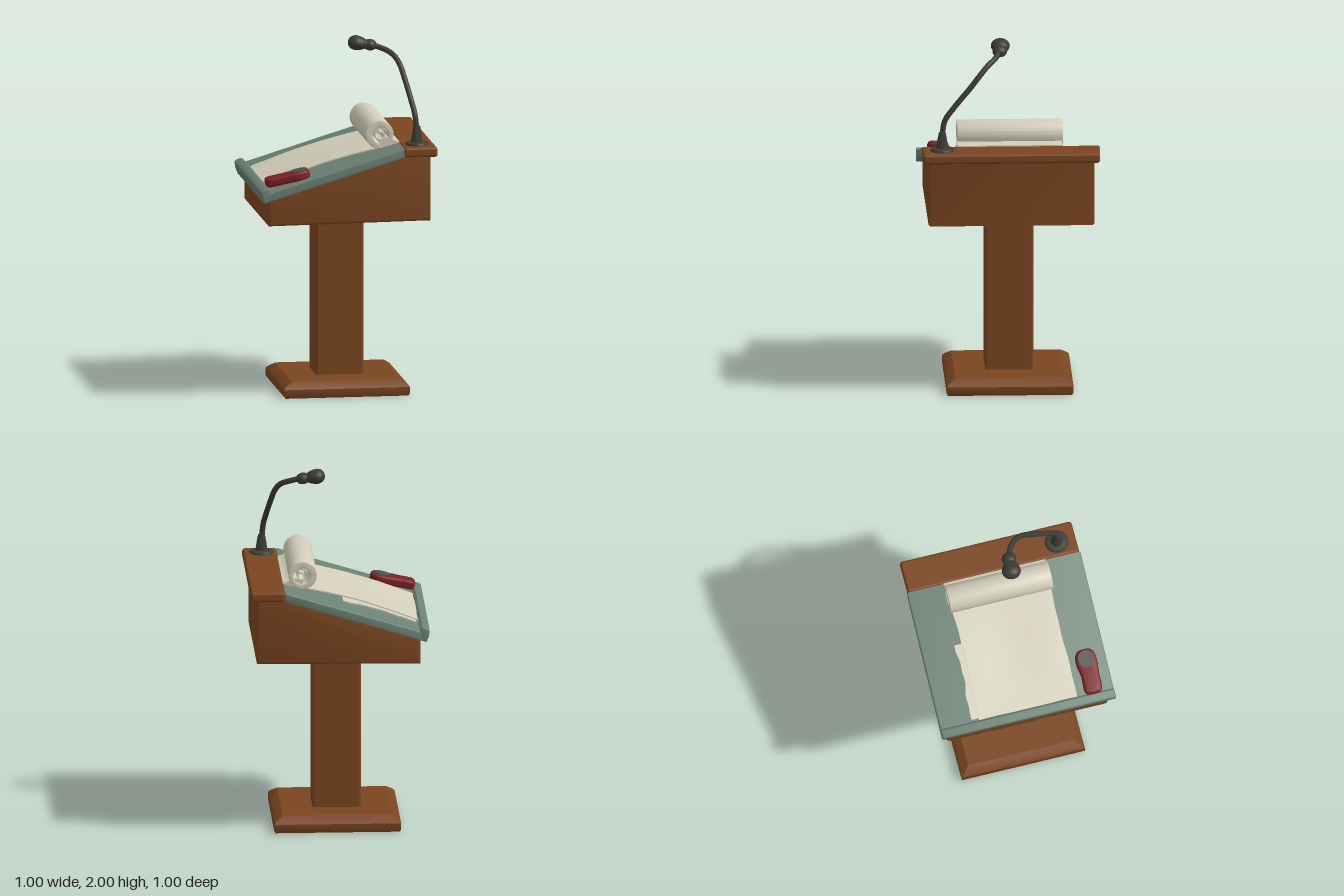
import * as THREE from 'three';
import { toCreasedNormals } from 'three/addons/utils/BufferGeometryUtils.js';
import { RoundedBoxGeometry } from 'three/addons/geometries/RoundedBoxGeometry.js';

const V = (x, y, z) => new THREE.Vector3(x, y, z);
const V2 = (x, y) => new THREE.Vector2(x, y);
const SLOPE = 0.304;
const deskY = (x) => 1.2 + SLOPE * (x + 0.44); // height of the sloped writing surface

function material(name, color) {
  const m = new THREE.MeshStandardMaterial({ color });
  m.name = name;
  return m;
}

// Extrude an x-y outline between two z values, with rounded edges kept inside the outline
function extrudeZ(shape, z0, z1, bevel, creaseAngle = 0.6) {
  const g = new THREE.ExtrudeGeometry(shape, {
    depth: z1 - z0 - 2 * bevel, bevelEnabled: bevel > 0, bevelThickness: bevel,
    bevelSize: bevel, bevelOffset: -bevel, bevelSegments: 3, curveSegments: 32,
  });
  g.translate(0, 0, z0 + bevel);
  return toCreasedNormals(g, creaseAngle);
}

const outline = (pairs) => new THREE.Shape(pairs.map(([x, y]) => V2(x, y)));

export function createModel() {
  const root = new THREE.Group();
  root.name = 'lectern';
  const wood = material('brown wood', 0x7a4520);
  const green = material('grey green board', 0x6c8175);
  const paperMat = material('cream paper', 0xd2cdb9);
  const red = material('dark red', 0x7c2026);
  const dark = material('dark metal', 0x3b3c36);
  const grey = material('button grey', 0x504f4b);
  const black = material('underside black', 0x22241f);

  function add(name, geometry, mat, parent = root) {
    const mesh = new THREE.Mesh(geometry, mat);
    mesh.name = name;
    parent.add(mesh);
    return mesh;
  }

  // Square chamfered foot with a shallow recess underneath
  const footProfile = [[0, 0.012], [0.32, 0.012], [0.33, 0], [0.347, 0], [0.355, 0.015],
    [0.355, 0.05], [0.345, 0.063], [0.305, 0.09], [0, 0.093]];
  const foot = new THREE.LatheGeometry(footProfile.map(([r, y]) => V2(r * Math.SQRT2, y)), 4, Math.PI / 4);
  add('foot', toCreasedNormals(foot, 0.5), wood).position.set(0.008, 0, 0.004);
  add('footPlate', new THREE.BoxGeometry(0.26, 0.006, 0.26), black).position.set(0.004, 0.01, 0);

  // Column
  add('column', new RoundedBoxGeometry(0.27, 0.95, 0.27, 3, 0.014), wood).position.set(0.002, 0.55, 0);

  // Wedge-shaped cabinet and the flat shelf along its high side
  add('cabinet', extrudeZ(outline([[-0.45, 1.0], [0.465, 1.01], [0.465, 1.395], [0.31, 1.395], [-0.45, 1.155]]),
    -0.465, 0.465, 0.015), wood);
  const shelf = add('shelf', new RoundedBoxGeometry(0.19, 0.056, 0.99, 3, 0.016), wood);
  shelf.position.set(0.405, 1.403, 0);

  // Sloped board with a raised lip along its low side
  add('board', extrudeZ(outline([[-0.475, 1.138], [0.31, 1.375], [0.31, 1.428], [-0.46, 1.194]]),
    -0.5, 0.5, 0.008), green);
  add('boardLip', extrudeZ(outline([[-0.482, 1.135], [-0.445, 1.146], [-0.447, 1.212], [-0.46, 1.222],
    [-0.488, 1.215], [-0.5, 1.203], [-0.496, 1.17]]), -0.5, 0.5, 0.008), green);

  // Thin sheets draped over the slope, with wavy edges and a soft bulge
  function sheet(name, x0, x1, z0, z1, lift, bulge, ragged) {
    const g = new THREE.BoxGeometry(1, 1, 1, 30, 1, 30);
    const p = g.attributes.position;
    for (let i = 0; i < p.count; i++) {
      const u = p.getX(i) + 0.5, w = p.getZ(i) + 0.5;
      const x = x0 + (x1 - x0) * u + 0.004 * Math.sin(w * 9) * (1 - u);
      const wave = ragged * (Math.sin(u * 8) + 0.5 * Math.sin(u * 21 + 1));
      const z = z0 + (z1 - z0) * w + wave * (w - 0.5);
      const swell = bulge * Math.sin(Math.PI * u) * (0.75 + 0.25 * Math.cos(w * 7));
      p.setXYZ(i, x, deskY(x) + lift + swell + p.getY(i) * 0.007, z);
    }
    return add(name, toCreasedNormals(g, 0.7), paperMat);
  }
  sheet('paperSheet', -0.447, 0.2, -0.275, 0.287, 0.007, 0.018, 0.006);
  const under = sheet('lowerPaperSheet', -0.44, -0.03, -0.305, 0.2, 0.004, 0.008, 0.012);
  under.rotation.y = -0.02;

  // Paper roll: thick outer wrap, inner curl and loose tail
  const roll = new THREE.Group();
  roll.name = 'paperRoll';
  root.add(roll);
  const ring = new THREE.Shape().absarc(0.2, 1.476, 0.079, 0, Math.PI * 2);
  ring.holes.push(new THREE.Path().absarc(0.207, 1.472, 0.045, 0, Math.PI * 2, true));
  add('rollWrap', extrudeZ(ring, -0.295, 0.297, 0.004), paperMat, roll);
  const curl = [[], []];
  for (let i = 0; i <= 36; i++) {
    const a = 0.5 + (i / 36) * 8.5, r = 0.046 - 0.03 * (i / 36);
    [r, r - 0.008].forEach((q, k) => curl[k].push([0.207 + q * Math.cos(a), 1.472 + q * Math.sin(a)]));
  }
  add('rollCurl', extrudeZ(outline([...curl[0], ...curl[1].reverse()]), -0.288, 0.29, 0), paperMat, roll);
  add('rollTail', extrudeZ(outline([[0.2, 1.4], [0.312, 1.427], [0.312, 1.434], [0.29, 1.438],
    [0.272, 1.45], [0.25, 1.46], [0.2, 1.45]]), -0.29, 0.297, 0), paperMat, roll);

  // Small rounded remote lying on the board, with a grey button pad
  const remote = new THREE.Group();
  remote.name = 'remote';
  remote.position.set(-0.335, 1.262, 0.384);
  remote.rotation.z = 0.21;
  root.add(remote);
  const remoteEdge = [[-0.127, -0.025], [-0.115, -0.048], [-0.02, -0.049], [0.06, -0.06], [0.115, -0.045],
    [0.128, 0], [0.115, 0.045], [0.06, 0.06], [-0.02, 0.053], [-0.115, 0.046], [-0.127, 0.02]];
  const remoteCurve = new THREE.CatmullRomCurve3(remoteEdge.map(([x, z]) => V(x, -z, 0)), true);
  const remoteShape = new THREE.Shape(remoteCurve.getPoints(44).slice(0, 44).reverse().map((q) => V2(q.x, q.y)));
  const remoteGeo = extrudeZ(remoteShape, -0.026, 0.026, 0.016, 1.0);
  remoteGeo.rotateX(-Math.PI / 2);
  add('remoteBody', remoteGeo, red, remote);
  const pad = add('remoteButton', new THREE.CylinderGeometry(1, 1, 0.008, 32), grey, remote);
  pad.scale.set(0.05, 1, 0.045);
  pad.position.set(0.068, 0.026, 0);

  // Gooseneck microphone
  const mic = new THREE.Group();
  mic.name = 'microphone';
  root.add(mic);
  const socketProfile = [[0, 1.425], [0.066, 1.425], [0.066, 1.436], [0.06, 1.444], [0.034, 1.447],
    [0.03, 1.47], [0.026, 1.5], [0.019, 1.535], [0, 1.54]];
  const socket = new THREE.LatheGeometry(socketProfile.map(([r, y]) => V2(r, y)), 32);
  add('microphoneSocket', toCreasedNormals(socket, 0.7), dark, mic).position.set(0.397, 0, 0.385);
  const neck = new THREE.CatmullRomCurve3([V(0.397, 1.5, 0.387), V(0.388, 1.6, 0.37), V(0.375, 1.67, 0.32),
    V(0.352, 1.78, 0.225), V(0.333, 1.85, 0.168), V(0.305, 1.895, 0.125), V(0.26, 1.922, 0.085), V(0.19, 1.945, 0.058)]);
  add('microphoneNeck', new THREE.TubeGeometry(neck, 60, 0.0155, 14), dark, mic);
  const headProfile = [[0, -0.085], [0.018, -0.083], [0.034, -0.07], [0.041, -0.052], [0.038, -0.034], [0.034, -0.022],
    [0.044, -0.005], [0.052, 0.02], [0.052, 0.04], [0.042, 0.06], [0.022, 0.073], [0, 0.077]];
  const headCurve = new THREE.SplineCurve(headProfile.map(([r, y]) => V2(r, y)));
  const headPoints = headCurve.getPoints(40).map((q) => V2(Math.max(q.x, 0), q.y));
  const head = add('microphoneHead', new THREE.LatheGeometry(headPoints, 32), dark, mic);
  head.scale.z = 0.78;
  // Local y points along the head, local z stays near vertical
  const along = V(-1, 0.16, -0.08).normalize();
  const side = V(0, 0, 1).addScaledVector(along, -along.z).normalize();
  const up = side.clone().cross(along);
  head.quaternion.setFromRotationMatrix(new THREE.Matrix4().makeBasis(side, along, up));
  head.position.set(0.135, 1.952, 0.052);

  return root;
}
